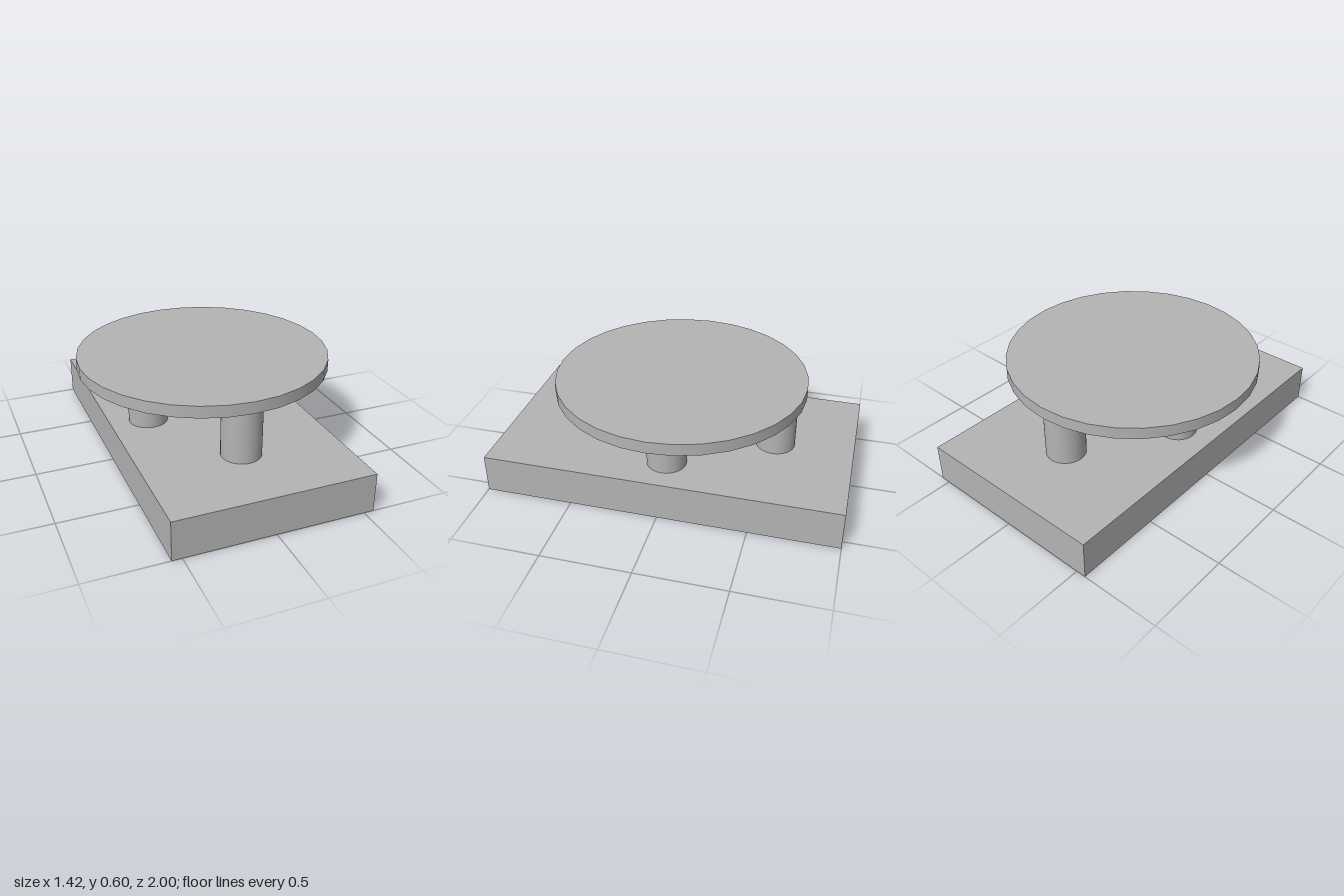
import * as THREE from 'three';

export function createModel() {
  const model = new THREE.Group();
  const grey = new THREE.MeshStandardMaterial({ color: 0xb4b4b4 });
  grey.name = 'plain grey';

  const add = (name, geometry, x, y, z) => {
    const mesh = new THREE.Mesh(geometry, grey);
    mesh.name = name;
    mesh.position.set(x, y, z);
    model.add(mesh);
  };

  const baseTop = 0.222, plateBottom = 0.533, top = 0.6;

  // Rectangular base slab
  add('base', new THREE.BoxGeometry(1.11, baseTop, 2), 0, baseTop / 2, 0);

  // Four round pillars in a diamond
  const pillar = new THREE.CylinderGeometry(0.111, 0.111, plateBottom - baseTop, 32);
  const spots = { frontPillar: [0, 0.555], backPillar: [0, -0.555], leftPillar: [0.333, 0], rightPillar: [-0.333, 0] };
  for (const [name, [x, z]] of Object.entries(spots)) {
    add(name, pillar, x, (baseTop + plateBottom) / 2, z);
  }

  // Round top plate
  add('topPlate', new THREE.CylinderGeometry(0.71, 0.71, top - plateBottom, 32), 0, (top + plateBottom) / 2, 0);

  return model;
}
